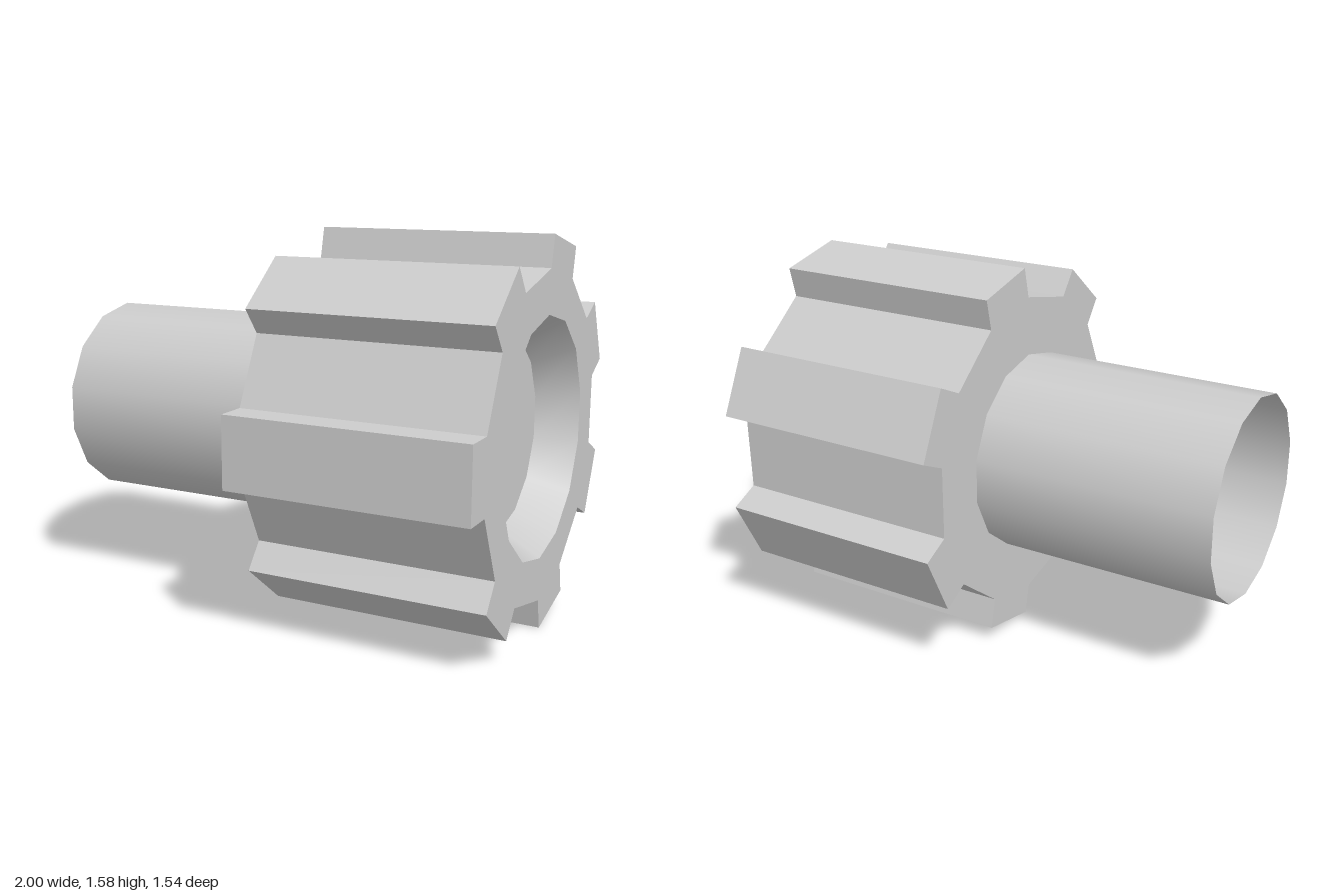
import * as THREE from 'three';

const TEETH = 7, SIDES = 14;
const TIP = 0.778, ROOT = 0.648, HALF = 0.146; // tooth tip, tooth root, half width
const BACK = 0.01, FRONT = 0.985 + BACK + 0.003; // gear ends along x
const BORE = 0.487, FLOOR = 0.392, DEPTH = 0.165; // tapered recess
const SHAFT = 0.42;

// Gear outline as (z, y) points, one tooth pointing along +z
function gearOutline() {
  const pts = [];
  for (let i = 0; i < TEETH; i++) {
    const a = (i / TEETH) * Math.PI * 2;
    for (const [r, h] of [[ROOT, -HALF], [TIP, -HALF], [TIP, HALF], [ROOT, HALF]]) {
      pts.push(new THREE.Vector2(r, h).rotateAround(new THREE.Vector2(), a));
    }
  }
  return pts;
}

// Flat strips joining the outline at both ends of the gear
function gearWalls(pts) {
  const v = [];
  pts.forEach((p, i) => {
    const q = pts[(i + 1) % pts.length];
    v.push(BACK, p.y, p.x, FRONT, p.y, p.x, FRONT, q.y, q.x);
    v.push(BACK, p.y, p.x, FRONT, q.y, q.x, BACK, q.y, q.x);
  });
  const g = new THREE.BufferGeometry();
  g.setAttribute('position', new THREE.Float32BufferAttribute(v, 3));
  g.computeVertexNormals();
  return g;
}

// Open tube along x with a corner pointing up
function tube(rStart, rEnd, x0, x1) {
  return new THREE.CylinderGeometry(rEnd, rStart, x1 - x0, SIDES, 1, true, Math.PI / 2)
    .rotateZ(-Math.PI / 2).translate((x0 + x1) / 2, 0, 0);
}

export function createModel() {
  const model = new THREE.Group();
  model.name = 'pinionGear';
  const mat = new THREE.MeshStandardMaterial({ color: 0xcccccc });
  const thin = new THREE.MeshStandardMaterial({ color: 0xcccccc, side: THREE.DoubleSide });
  const inside = new THREE.MeshStandardMaterial({ color: 0xcccccc, side: THREE.DoubleSide });
  const add = (name, geometry, material = mat) => {
    const mesh = new THREE.Mesh(geometry, material);
    mesh.name = name;
    model.add(mesh);
  };

  const outline = gearOutline();
  add('gearTeeth', gearWalls(outline));

  // Outer face with the bore cut out
  const face = new THREE.Shape(outline.map((p) => new THREE.Vector2(-p.x, p.y)));
  const bore = [];
  for (let i = 0; i < SIDES; i++) {
    const a = Math.PI / 2 + (i / SIDES) * Math.PI * 2;
    bore.push(new THREE.Vector2(BORE * Math.cos(a), BORE * Math.sin(a)));
  }
  face.holes.push(new THREE.Path(bore));
  add('gearFrontFace', new THREE.ShapeGeometry(face).rotateY(Math.PI / 2).translate(FRONT, 0, 0));

  // Inner face, where the shaft meets the gear
  add('gearBackFace', new THREE.ShapeGeometry(new THREE.Shape(outline))
    .rotateY(-Math.PI / 2).translate(BACK, 0, 0));

  // Tapered recess and its floor
  add('recessWall', tube(FLOOR, BORE, FRONT - DEPTH, FRONT), inside);
  add('recessFloor', new THREE.CircleGeometry(FLOOR, SIDES, Math.PI / 2)
    .rotateY(Math.PI / 2).translate(FRONT - DEPTH, 0, 0));

  // Hollow shaft, open at the far end
  add('shaft', tube(SHAFT, SHAFT, -1, BACK), thin);

  // Stand on the ground, centred in depth
  model.position.set(0, 0.791, -0.007);
  return model;
}
